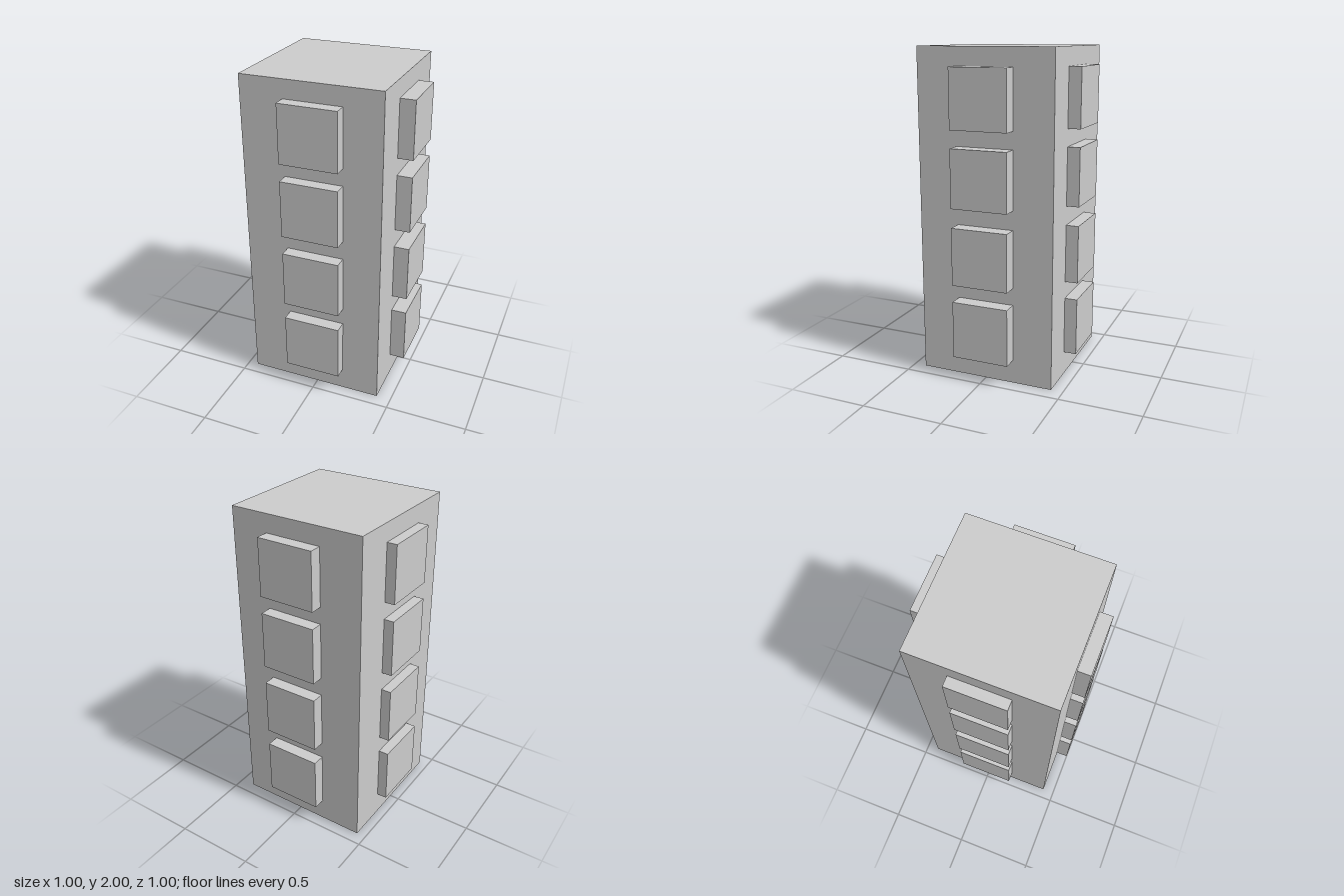
import * as THREE from 'three';

export function createModel() {
  const model = new THREE.Group();
  model.name = 'tower';
  const material = new THREE.MeshStandardMaterial({ color: 0xcccccc, flatShading: true });

  function box(name, size, position, parent) {
    const mesh = new THREE.Mesh(new THREE.BoxGeometry(...size), material);
    mesh.name = name;
    mesh.position.set(...position);
    parent.add(mesh);
  }

  // Main block, set slightly toward -x between its windows
  const width = 0.849, depth = 0.85, centreX = -0.0155;
  box('towerBody', [width, 2, depth], [centreX, 1, 0], model);

  // One column of four raised square windows per side, sunk a little into the wall
  const pane = 0.354, sink = 0.02, reach = 0.502;
  const levels = [0.322, 0.782, 1.252, 1.711];
  const sides = [
    { name: 'front', axis: 'z', sign: 1, wall: depth / 2 },
    { name: 'back', axis: 'z', sign: -1, wall: depth / 2 },
    { name: 'left', axis: 'x', sign: 1, wall: width / 2 + centreX },
    { name: 'right', axis: 'x', sign: -1, wall: width / 2 - centreX },
  ];
  for (const { name, axis, sign, wall } of sides) {
    const column = new THREE.Group();
    column.name = name + 'Windows';
    const thickness = reach - wall + sink;
    const out = sign * (reach - thickness / 2);
    levels.forEach((y, i) => {
      const size = axis === 'x' ? [thickness, pane, pane] : [pane, pane, thickness];
      const position = axis === 'x' ? [out, y, -0.002] : [0, y, out];
      box(name + 'Window' + (i + 1), size, position, column);
    });
    model.add(column);
  }
  return model;
}
